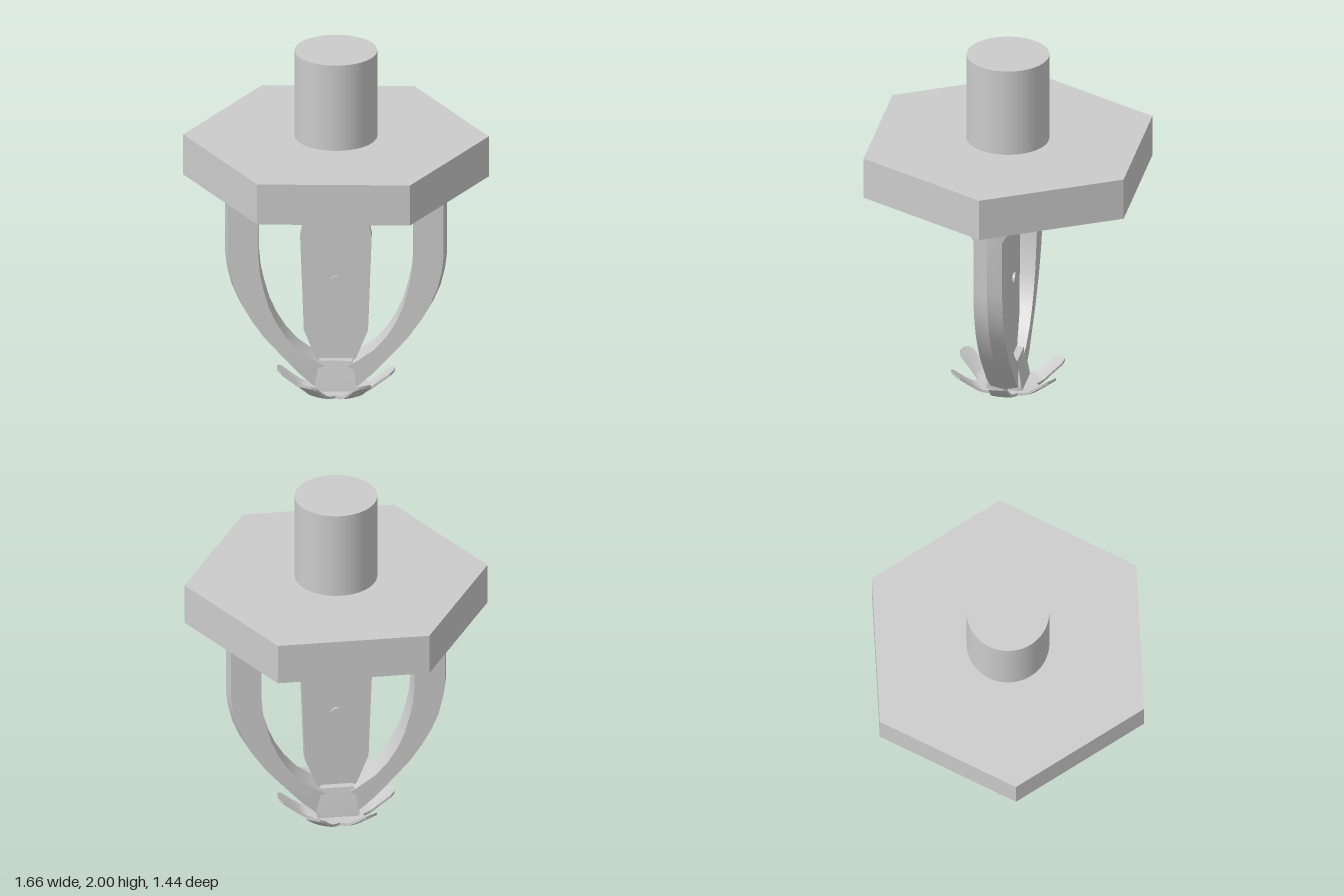
import * as THREE from 'three';
import { toCreasedNormals } from 'three/addons/utils/BufferGeometryUtils.js';

const material = new THREE.MeshStandardMaterial({ color: 0xcccccc });

// Skin a series of closed loops, cap both ends and turn all faces outward
function loft(rings, crease = 0.5) {
  const tris = [];
  const add = (a, b, c) => {
    const area = b.clone().sub(a).cross(c.clone().sub(a)).length();
    if (area > 1e-9) tris.push([a, b, c]);
  };
  const n = rings[0].length;
  for (let j = 0; j < rings.length - 1; j++) {
    for (let i = 0; i < n; i++) {
      const k = (i + 1) % n;
      const [a, b, c, d] = [rings[j][i], rings[j][k], rings[j + 1][k], rings[j + 1][i]];
      add(a, b, c);
      add(a, c, d);
    }
  }
  const last = rings[rings.length - 1];
  for (let i = 1; i < n - 1; i++) {
    add(rings[0][0], rings[0][i + 1], rings[0][i]);
    add(last[0], last[i], last[i + 1]);
  }
  const volume = tris.reduce((s, [a, b, c]) => s + a.dot(b.clone().cross(c)), 0);
  const points = tris.flatMap(([a, b, c]) => (volume < 0 ? [a, c, b] : [a, b, c]));
  const geometry = new THREE.BufferGeometry().setFromPoints(points);
  geometry.computeVertexNormals();
  return toCreasedNormals(geometry, crease);
}

const V = (x, y, z) => new THREE.Vector3(x, y, z);

// Lathe a profile of [radius, height] points
function turned(profile, segments = 64) {
  const points = profile.map(([r, y]) => new THREE.Vector2(r, y));
  return toCreasedNormals(new THREE.LatheGeometry(points, segments), 0.5);
}

// Hexagonal slab with corners on the x axis, optionally bored through
function hexSlab(radius, y0, y1, bore) {
  const shape = new THREE.Shape();
  for (let i = 0; i < 6; i++) {
    const a = (i * Math.PI) / 3;
    shape[i ? 'lineTo' : 'moveTo'](radius * Math.cos(a), radius * Math.sin(a));
  }
  shape.closePath();
  if (bore) shape.holes.push(new THREE.Path().absarc(0, 0, bore, 0, Math.PI * 2, true));
  const g = new THREE.ExtrudeGeometry(shape, { depth: y1 - y0, bevelEnabled: false, curveSegments: 32 });
  return g.rotateX(-Math.PI / 2).translate(0, y0, 0);
}

// Curved frame arm: [outer x, outer y, inner x, inner y, half width]
function armGeometry() {
  const sections = [
    [0.605, 1.265, 0.42, 1.265, 0.155],
    [0.605, 1.14, 0.42, 1.14, 0.08],
    [0.605, 0.82, 0.42, 0.8, 0.08],
    [0.594, 0.73, 0.412, 0.71, 0.08],
    [0.57, 0.63, 0.393, 0.62, 0.08],
    [0.53, 0.535, 0.365, 0.52, 0.08],
    [0.476, 0.44, 0.325, 0.43, 0.08],
    [0.41, 0.345, 0.275, 0.35, 0.08],
    [0.33, 0.255, 0.21, 0.275, 0.08],
    [0.22, 0.135, 0.105, 0.2, 0.08],
    [0.11, 0.035, 0.05, 0.17, 0.075],
  ];
  return loft(sections.map(([ox, oy, ix, iy, w]) => [
    V(ix, iy, -w), V(ix, iy, w), V(ox - 0.018, oy, w), V(ox, oy, 0), V(ox - 0.018, oy, -w),
  ]), 0.35);
}

// Six-fingered deflector: a flat star whose fingers bend upward
function deflectorGeometry() {
  const half = [[0.139, 0.08], [0.165, 0.066], [0.19, 0.058], [0.23, 0.053], [0.295, 0.053], [0.315, 0.035]];
  const finger = [...half.map(([u, v]) => [u, -v]), [0.322, 0], ...half.slice(1).reverse()];
  const outline = [];
  for (let i = 0; i < 6; i++) {
    for (const [u, v] of finger) {
      outline.push([Math.hypot(u, v), Math.atan2(v, u) + (i * Math.PI) / 3]);
    }
  }
  const flat = 0.165;
  const ring = (t, y) => outline.map(([R, a]) => {
    const inner = Math.min(R, flat);
    const r = t <= 1 ? inner * t : inner + (R - inner) * (t - 1);
    const rise = Math.max(0, r - flat);
    const lift = rise < 0.04 ? rise * rise * 9.4 : 0.015 + (rise - 0.04) * 0.78;
    return V(r * Math.cos(a), y + lift, r * Math.sin(a));
  });
  const steps = [0, 1, 1.12, 1.25, 1.5, 2];
  return loft([
    ...steps.map((t) => ring(t, 0.02)),
    ...steps.slice().reverse().map((t) => ring(t, 0.036)),
  ]);
}

export function createModel() {
  const model = new THREE.Group();
  const add = (name, geometry) => {
    const mesh = new THREE.Mesh(geometry, material);
    mesh.name = name;
    model.add(mesh);
    return mesh;
  };

  // Inlet pipe and hexagonal body with a round recess below
  add('inletPipe', new THREE.CylinderGeometry(0.225, 0.225, 0.5, 64).translate(0, 1.75, 0));
  add('hexBody', hexSlab(0.832, 1.315, 1.5));
  add('hexSkirt', hexSlab(0.832, 1.265, 1.315, 0.42));
  add('baseRing', turned([[0.42, 1.315], [0.42, 1.253], [0.605, 1.253], [0.605, 1.27]].reverse()))
    .material = new THREE.MeshStandardMaterial({ color: 0xcccccc, side: THREE.DoubleSide });
  add('outletHub', new THREE.CylinderGeometry(0.166, 0.166, 0.11, 48).translate(0, 1.265, 0));

  // Pair of frame arms
  const arm = armGeometry();
  add('leftArm', arm);
  add('rightArm', arm).rotation.y = Math.PI;

  // Trigger plate with a pin on each face
  const edge = [[0.1, 0.18], [0.175, 0.37], [0.195, 0.92], [0.13, 1.22]];
  const outline = [...edge, ...edge.map(([x, y]) => [-x, y]).reverse()];
  const plate = new THREE.Shape(outline.map(([x, y]) => new THREE.Vector2(x, y)));
  add('triggerPlate', new THREE.ExtrudeGeometry(plate, { depth: 0.06, bevelEnabled: false })
    .translate(0, 0, -0.03));
  add('platePin', new THREE.CylinderGeometry(0.033, 0.033, 0.085, 24)
    .rotateX(Math.PI / 2).translate(0, 0.655, 0));

  // Tapered boss where the arms meet
  const square = (x, z, y) => [V(x, y, z), V(x, y, -z), V(-x, y, -z), V(-x, y, z)];
  add('boss', loft([square(0.115, 0.1, 0.03), square(0.115, 0.095, 0.07), square(0.09, 0.07, 0.205)], 0.1));

  // Deflector and its hollow rivet
  add('deflector', deflectorGeometry());
  add('rivet', turned([[0, 0.012], [0.042, 0.012], [0.042, 0], [0.06, 0], [0.06, 0.03]], 32));

  return model;
}
